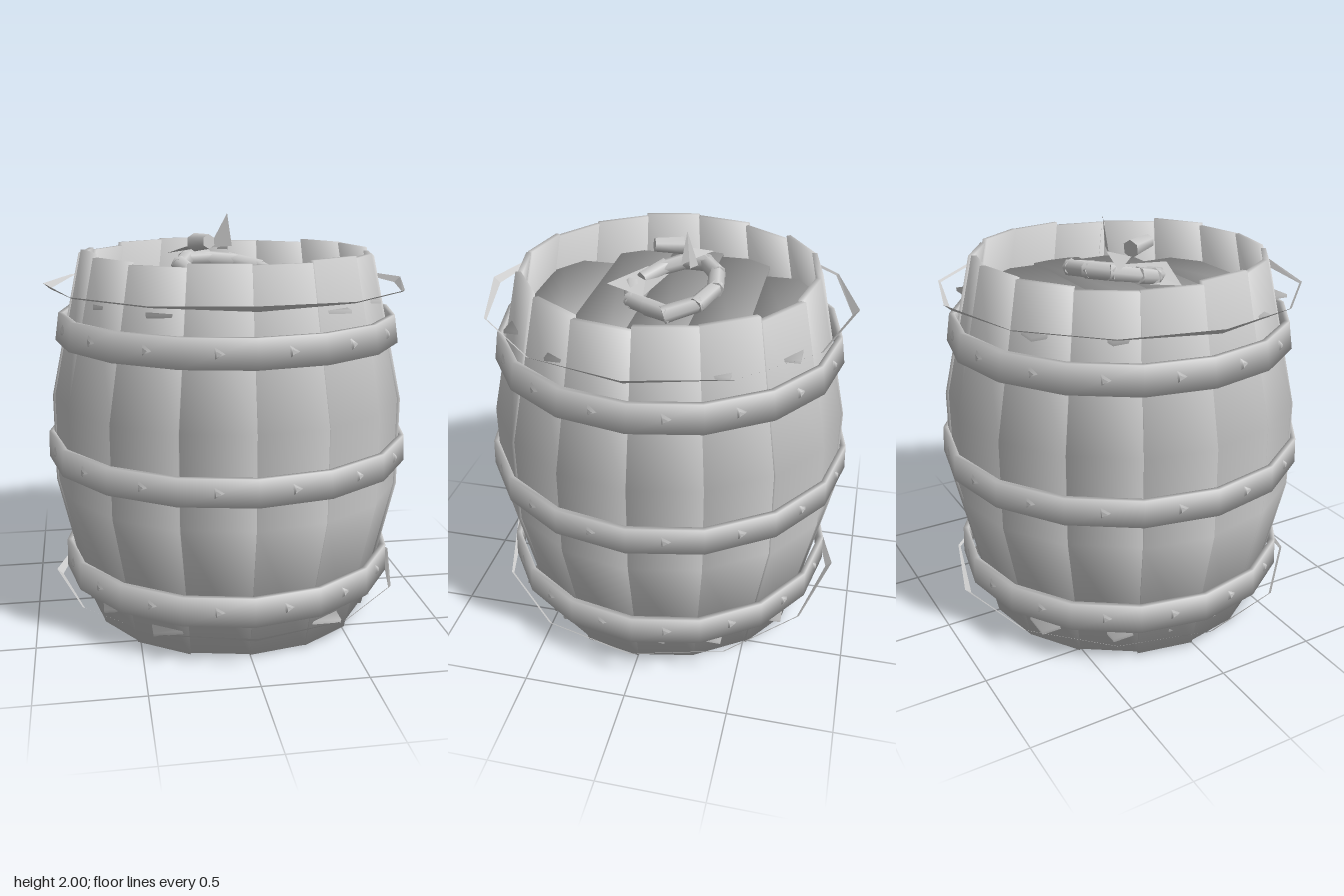
import * as THREE from 'three';

const SIDES = 16;
const STEP = (Math.PI * 2) / SIDES;
const grey = new THREE.MeshStandardMaterial({ color: 0xcccccc, side: THREE.DoubleSide });

function part(parent, name, geometry, x = 0, y = 0, z = 0) {
  const mesh = new THREE.Mesh(geometry, grey);
  mesh.name = name;
  mesh.position.set(x, y, z);
  parent.add(mesh);
  return mesh;
}

function group(parent, name) {
  const g = new THREE.Group();
  g.name = name;
  parent.add(g);
  return g;
}

const polar = (a, r, y) => [Math.sin(a) * r, y, Math.cos(a) * r];

// Direction from radial, tangential and vertical amounts at angle a
const direction = (a, radial, tangent, up) => new THREE.Vector3(
  Math.sin(a) * radial + Math.cos(a) * tangent, up, Math.cos(a) * radial - Math.sin(a) * tangent,
).normalize().toArray();

// Skin over four-cornered sections, with soft normals shared at the corners
function loft(sections, capped) {
  const pos = [], normal = [], index = [];
  sections.forEach((section, s) => section.forEach(([p, n], j) => {
    pos.push(...p);
    normal.push(...n);
    if (s === sections.length - 1) return;
    const k = s * 4, a = k + j, b = k + (j + 1) % 4;
    index.push(a, b, a + 4, b, b + 4, a + 4);
  }));
  if (capped) {
    const k = (sections.length - 1) * 4;
    index.push(0, 2, 1, 0, 3, 2, k, k + 1, k + 2, k, k + 2, k + 3);
  }
  const g = new THREE.BufferGeometry();
  g.setAttribute('position', new THREE.Float32BufferAttribute(pos, 3));
  g.setAttribute('normal', new THREE.Float32BufferAttribute(normal, 3));
  g.setIndex(index);
  return g;
}

// One bulged plank of the barrel wall, slightly uneven from its neighbours
function staveGeometry(i) {
  const shift = 0.008 * Math.sin(i * 2.4);
  const top = 1.825 + 0.012 * Math.sin(i * 1.7);
  const rows = [[0, 0.72, -1], [0.68, 0.872, 0], [1.12, 0.872, 0], [top, 0.718, 1]];
  const corners = [[0, 1], [1, 1], [1, -1], [0, -1]];
  return loft(rows.map(([y, r, end]) => corners.map(([side, out]) => [
    polar((i + side) * STEP, r + shift - (out < 0 ? 0.025 : 0), y),
    direction((i + 0.5) * STEP, out * (end ? 0.55 : 1), (side - 0.5) * (end ? 1.3 : 1.2), end),
  ])), true);
}

// Closed hoop with a rectangular section
function hoopGeometry(y0, y1, r0, r1) {
  const t = 0.025;
  const corners = [[y0, r0 - t, -1, -1], [y1, r1 - t, -1, 1], [y1, r1, 1, 1], [y0, r0, 1, -1]];
  return loft(Array.from({ length: SIDES + 1 }, (_, i) => corners.map(([y, r, out, up]) => [
    polar(i * STEP, r, y), direction(i * STEP, out, 0, up * 0.8),
  ])), false);
}

// Thin board whose normals fan out sideways from its middle
function boardGeometry(length, width) {
  const g = new THREE.BoxGeometry(length, 0.016, width);
  const p = g.attributes.position;
  const n = new THREE.Vector3();
  for (let i = 0; i < p.count; i++) {
    n.set(Math.sign(p.getX(i)), 0.1 * Math.sign(p.getY(i)), Math.sign(p.getZ(i))).normalize();
    g.attributes.normal.setXYZ(i, n.x, n.y, n.z);
  }
  return g;
}

// Fan of triangles around the first point
function polygon(points) {
  const g = new THREE.BufferGeometry();
  const pos = [];
  for (let i = 1; i < points.length - 1; i++) pos.push(...points[0], ...points[i], ...points[i + 1]);
  g.setAttribute('position', new THREE.Float32BufferAttribute(pos, 3));
  g.computeVertexNormals();
  return g;
}

export function createModel() {
  const barrel = new THREE.Group();
  barrel.name = 'barrel';

  // Wall
  const staves = group(barrel, 'staves');
  for (let i = 0; i < SIDES; i++) part(staves, 'stave', staveGeometry(i));

  // Lid and base, each made of five boards whose corners pierce the wall
  for (const [name, y] of [['lid', 1.612], ['base', 0.12]]) {
    const boards = group(barrel, name);
    for (let i = -2; i <= 2; i++) {
      const length = [1.46, 1.34, 0.9][Math.abs(i)];
      part(boards, 'board', boardGeometry(length, 0.272), 0, y, i * 0.272);
    }
  }

  // Hoops with a small three-sided rivet in the middle of every side
  const hoops = [
    [0.205, 0.345, 0.845, 0.84],
    [0.805, 0.935, 0.91, 0.905],
    [1.4, 1.535, 0.855, 0.835],
  ];
  const rivetShape = new THREE.CylinderGeometry(0.016, 0.034, 0.014, 3).rotateX(Math.PI / 2).rotateZ(Math.PI / 2);
  for (const [y0, y1, r0, r1] of hoops) {
    const g = group(barrel, 'hoop');
    part(g, 'hoopBand', hoopGeometry(y0, y1, r0, r1));
    const flat = ((r0 + r1) / 2) * Math.cos(STEP / 2);
    for (let i = 0; i < SIDES; i++) {
      const a = (i + 0.5) * STEP;
      part(g, 'rivet', rivetShape, ...polar(a, flat + 0.004, (y0 + y1) / 2)).rotation.y = a;
    }
  }

  // Loose wire bands near both ends, widest at the four quarter points
  for (const y of [1.665, 0.165]) {
    const band = group(barrel, 'wireBand');
    const edge = (i, s) => polar(i * Math.PI / 6, 0.885 + s * (i % 3 ? 0.006 : 0.016), y + s * (i % 3 ? 0.004 : 0.014));
    for (let i = 0; i < 12; i++) {
      part(band, 'wireLength', polygon([edge(i, -1), edge(i + 1, -1), edge(i + 1, 1), edge(i, 1)]));
    }
  }

  // Tilted coil of rope on the lid, in straight stubby lengths
  const rope = group(barrel, 'rope');
  const path = [
    [-0.03, 0.2], [0.1, 0.16], [0.18, 0.06], [0.25, -0.04], [0.19, -0.17], [0.06, -0.23],
    [-0.08, -0.21], [-0.19, -0.14], [-0.23, -0.02], [-0.19, 0.08], [-0.11, 0.15],
  ].map(([x, z]) => new THREE.Vector3(x, 1.715 - 0.2 * z - 0.15 * x, z));
  for (let i = 0; i < path.length - 1; i++) {
    const line = new THREE.LineCurve3(path[i], path[i + 1]);
    const length = line.getLength() + 0.04;
    const piece = part(rope, 'ropeLength', new THREE.CylinderGeometry(0.038, 0.042, length, 6), ...line.getPoint(0.5));
    piece.quaternion.setFromUnitVectors(new THREE.Vector3(0, 1, 0), line.getTangent(0.5));
  }

  // Knot, frayed ends and the flat scrap beneath the coil
  const knot = part(rope, 'knot', new THREE.CylinderGeometry(0.035, 0.045, 0.14, 6), -0.13, 1.87, 0.035);
  knot.rotation.set(Math.PI / 2 - 0.1, 0, -0.4);
  part(rope, 'frayedEnd', polygon([[-0.075, 1.83, -0.1], [0.035, 1.84, -0.06], [0.015, 2, -0.085]]));
  part(rope, 'frayedEnd', polygon([[-0.03, 1.82, -0.13], [0.02, 1.82, -0.1], [0.015, 2, -0.085]]));
  part(rope, 'frayedEnd', polygon([[-0.28, 1.8, -0.16], [-0.05, 1.84, -0.1], [-0.2, 1.84, -0.05]]));
  part(rope, 'scrap', polygon([[-0.28, 1.69, 0.18], [0.05, 1.72, 0.3], [0.14, 1.71, 0.1], [-0.22, 1.7, 0.04]]));

  return barrel;
}
